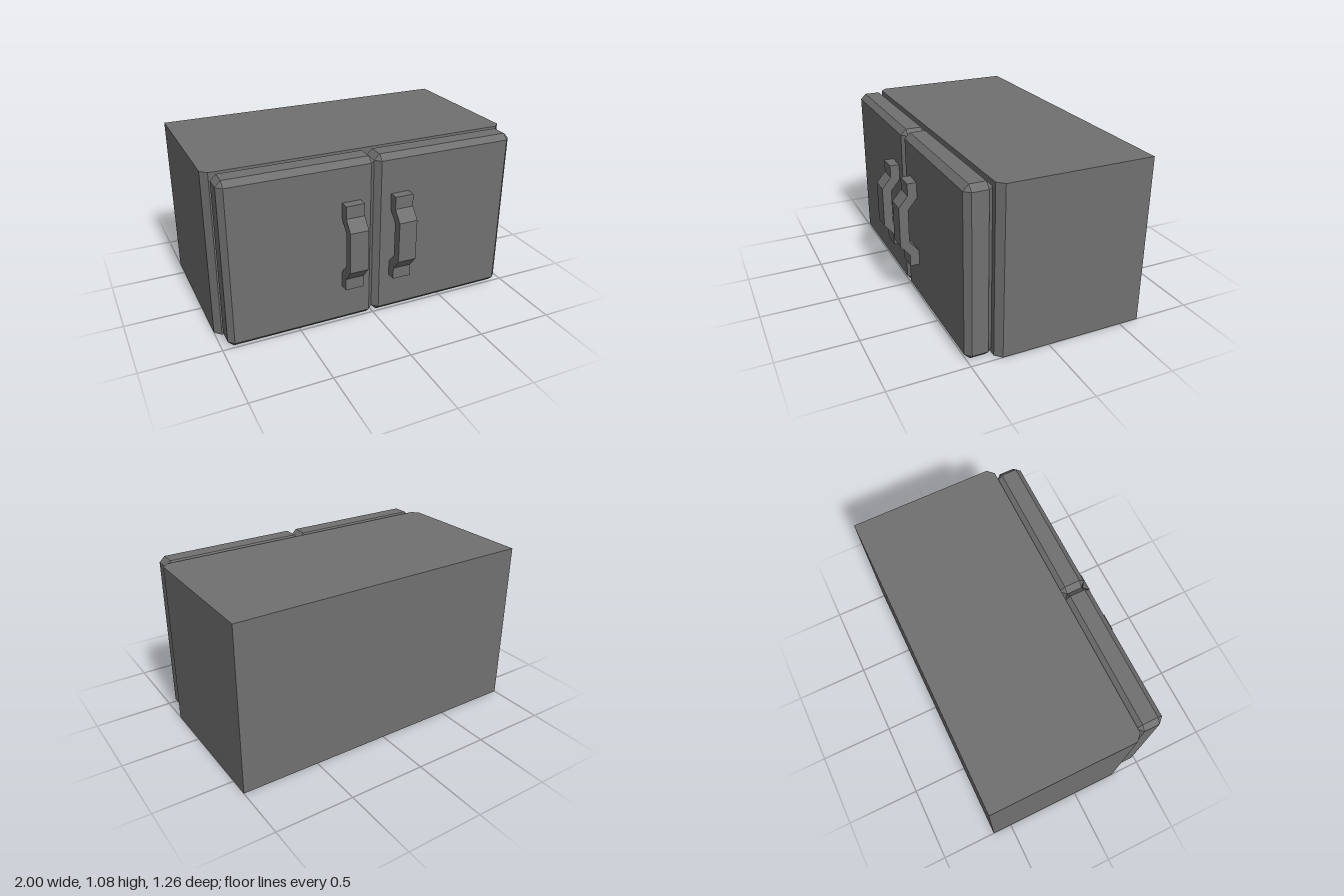
import * as THREE from 'three';
import { ConvexGeometry } from 'three/addons/geometries/ConvexGeometry.js';

const HEIGHT = 1.08;

// Box with every edge and corner cut flat
function chamferedBox(w, h, d, c) {
  const points = [];
  for (const sx of [-1, 1]) for (const sy of [-1, 1]) for (const sz of [-1, 1]) {
    for (let axis = 0; axis < 3; axis++) {
      const half = [w / 2 - c, h / 2 - c, d / 2 - c];
      half[axis] += c;
      points.push(new THREE.Vector3(sx * half[0], sy * half[1], sz * half[2]));
    }
  }
  return new ConvexGeometry(points);
}

function extrude(points, depth) {
  const shape = new THREE.Shape(points.map(([x, y]) => new THREE.Vector2(x, y)));
  return new THREE.ExtrudeGeometry(shape, { depth, bevelEnabled: false });
}

export function createModel() {
  const model = new THREE.Group();
  model.name = 'wallCabinet';
  const grey = new THREE.MeshStandardMaterial({ color: 0x707070 });
  grey.name = 'grey';

  const add = (name, geometry) => {
    const mesh = new THREE.Mesh(geometry, grey);
    mesh.name = name;
    model.add(mesh);
    return mesh;
  };

  // Cabinet body, with the front upright edges chamfered
  const body = extrude([
    [-1, 0.63], [1, 0.63], [1, -0.3], [0.96, -0.34], [-0.96, -0.34], [-1, -0.3],
  ], HEIGHT);
  body.rotateX(-Math.PI / 2);
  add('body', body);

  // Handle side profile as (z, y)
  const profile = [
    [0.508, 0.825], [0.57, 0.825], [0.57, 0.745], [0.63, 0.675],
    [0.63, 0.41], [0.57, 0.337], [0.57, 0.26], [0.508, 0.26],
    [0.508, 0.355], [0.57, 0.43], [0.57, 0.65], [0.508, 0.725],
  ];
  const handleWidth = 0.12;

  for (const [side, s] of [['left', 1], ['right', -1]]) {
    // Door
    const door = add(side + 'Door', chamferedBox(0.96, HEIGHT, 0.17, 0.035));
    door.position.set(s * 0.48, HEIGHT / 2, 0.425);

    // Bent pull handle
    const handle = extrude(profile, handleWidth);
    handle.rotateY(-Math.PI / 2);
    handle.translate(handleWidth / 2, 0, 0);
    add(side + 'Handle', handle).position.x = s * 0.163;
  }
  return model;
}
